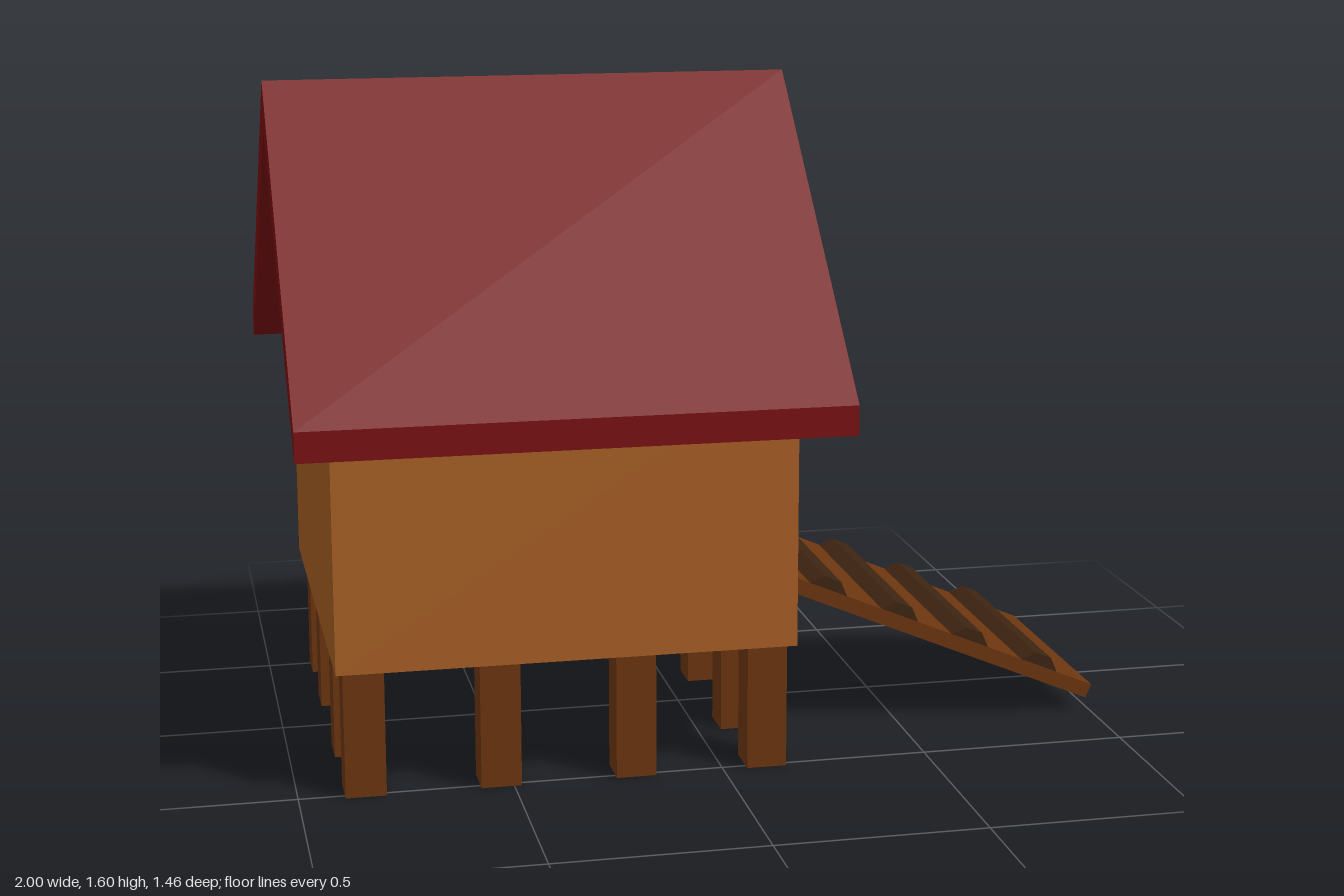
import * as THREE from 'three';

const mat = (name, color, side = THREE.FrontSide) => {
  const m = new THREE.MeshStandardMaterial({ color, side });
  m.name = name;
  return m;
};

const polygon = (points, Kind = THREE.Shape) =>
  new Kind(points.map(([x, y]) => new THREE.Vector2(x, y)));

const rect = (w, h, cx = 0, cy = 0) => [
  [cx - w / 2, cy - h / 2], [cx + w / 2, cy - h / 2],
  [cx + w / 2, cy + h / 2], [cx - w / 2, cy + h / 2],
];

const extrude = (shape, depth) =>
  new THREE.ExtrudeGeometry(shape, { depth, bevelEnabled: false });

export function createModel() {
  const wood = mat('wall wood', 0xa65e24, THREE.DoubleSide);
  const red = mat('roof red', 0x780e10);
  const brown = mat('dark wood', 0x6b350f);
  const dark = mat('cleat wood', 0x3d2411);

  const model = new THREE.Group();
  model.name = 'henHouse';
  const add = (name, geometry, material, parent = model) => {
    const mesh = new THREE.Mesh(geometry, material);
    mesh.name = name;
    parent.add(mesh);
    return mesh;
  };

  // House extents
  const X0 = -0.91, X1 = 0.17, Z = 0.545, Y0 = 0.305, EAVE = 1.0, PEAK = 1.49;
  const length = X1 - X0, midX = (X0 + X1) / 2;

  // Gable walls, the one at +x with a doorway
  const outline = [[-Z, Y0], [Z, Y0], [Z, EAVE], [0, PEAK], [-Z, EAVE]];
  const door = { w: 0.65, h: 0.55, y: 0.655, depth: 0.135 };
  const doorway = rect(door.w, door.h, 0, door.y);
  const doorGable = polygon(outline);
  doorGable.holes.push(polygon(doorway, THREE.Path));
  add('doorGable', new THREE.ShapeGeometry(doorGable).rotateY(Math.PI / 2), wood).position.x = X1;
  add('backGable', new THREE.ShapeGeometry(polygon(outline)).rotateY(-Math.PI / 2), wood).position.x = X0;

  // Side walls and floor
  for (const s of [1, -1]) {
    const wall = new THREE.PlaneGeometry(length, EAVE - Y0);
    if (s < 0) wall.rotateY(Math.PI);
    add(s > 0 ? 'frontWall' : 'rearWall', wall, wood).position.set(midX, (Y0 + EAVE) / 2, s * Z);
  }
  add('floor', new THREE.PlaneGeometry(length, 2 * Z).rotateX(Math.PI / 2), wood).position.set(midX, Y0, 0);

  // Lining of the doorway, running inwards
  const frame = new THREE.Group();
  frame.name = 'doorLining';
  model.add(frame);
  for (const s of [1, -1]) {
    add('jamb', new THREE.PlaneGeometry(door.depth, door.h), wood, frame)
      .position.set(X1 - door.depth / 2, door.y, s * door.w / 2);
    add(s > 0 ? 'lintel' : 'sill', new THREE.PlaneGeometry(door.depth, door.w).rotateX(-Math.PI / 2), wood, frame)
      .position.set(X1 - door.depth / 2, door.y + s * door.h / 2, 0);
  }

  // Roof: bent slab with overhanging eaves
  const roof = polygon([
    [0, 1.6], [-0.73, 0.92], [-0.73, 0.85], [-Z, EAVE],
    [0, PEAK], [Z, EAVE], [0.73, 0.85], [0.73, 0.92],
  ]);
  add('roof', extrude(roof, 1.26).rotateY(Math.PI / 2), red).position.x = -1;

  // Legs around the edge, each with a hollow top rising through the floor
  const legs = new THREE.Group();
  legs.name = 'legs';
  model.add(legs);
  const rimShape = polygon(rect(0.095, 0.095));
  rimShape.holes.push(polygon(rect(0.05, 0.05), THREE.Path));
  const rimGeo = extrude(rimShape, 0.035).rotateX(-Math.PI / 2);
  const legGeo = new THREE.BoxGeometry(0.095, 0.3, 0.095).translate(0, 0.15, 0);
  const xs = [-0.845, -0.53, -0.21, 0.105], zs = [-0.47, -0.19, 0.19, 0.47];
  xs.forEach((x, i) => zs.forEach((z, j) => {
    if (i % 3 && j % 3) return;
    add('leg', legGeo, brown, legs).position.set(x, 0, z);
    add('legTop', rimGeo, brown, legs).position.set(x, 0.3, z);
  }));

  // Sloping ramp with tapered cleats
  const ramp = new THREE.Group();
  ramp.name = 'ramp';
  ramp.position.set(0.185, 0.415, 0);
  ramp.rotation.z = -Math.atan2(0.345, 0.815);
  model.add(ramp);
  add('rampBoard', new THREE.BoxGeometry(0.885, 0.037, 0.595), brown, ramp).position.set(0.4425, -0.0185, 0);
  const cleat = extrude(polygon([[0, 0], [0.103, 0], [0.074, 0.028], [0.031, 0.028]]), 0.595);
  for (let i = 0; i < 4; i++) {
    add('cleat', cleat, dark, ramp).position.set(0.087 + i * 0.198, 0, -0.2975);
  }
  return model;
}
